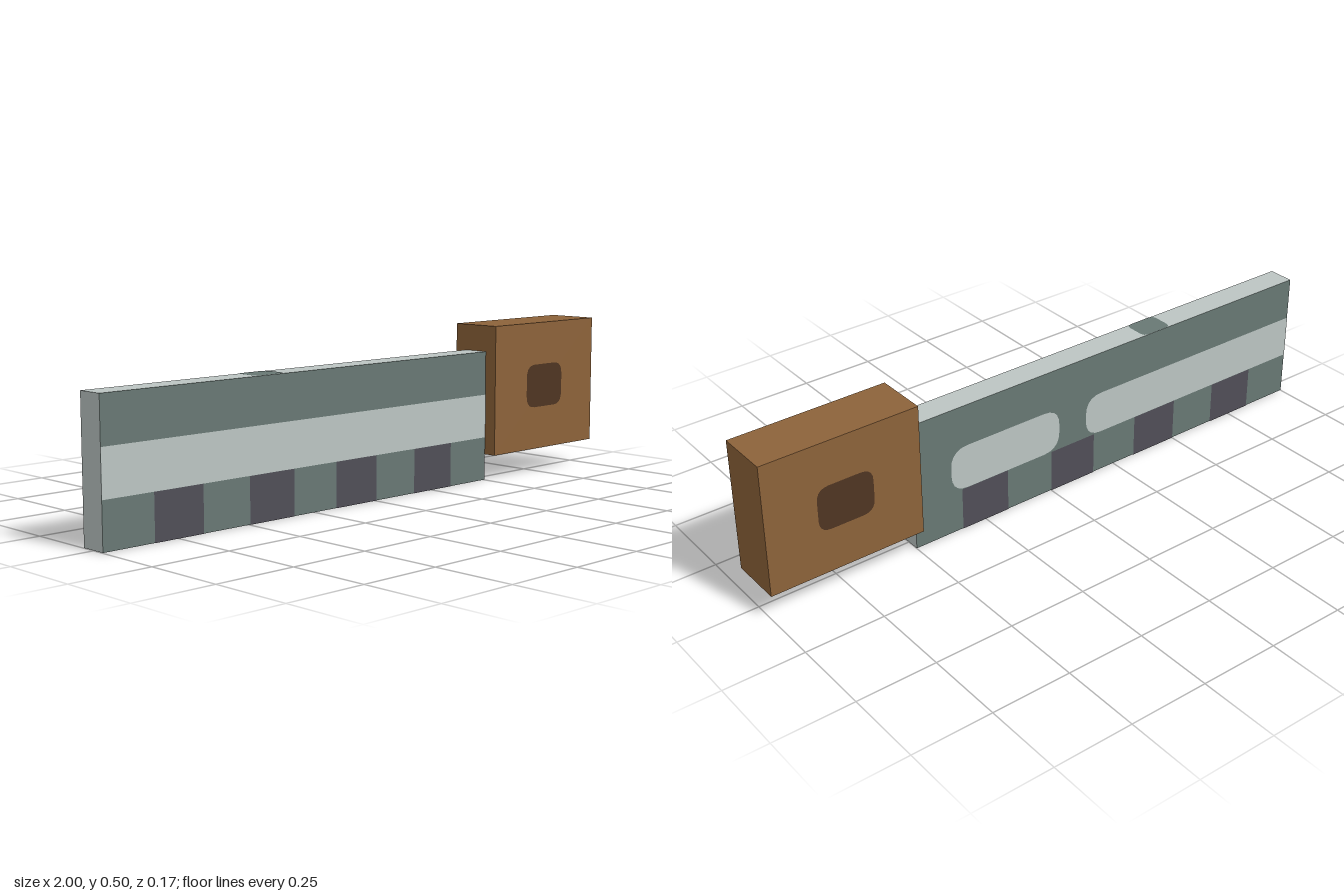
import * as THREE from 'three';

const paint = (name, color) => {
  const m = new THREE.MeshStandardMaterial({ color });
  m.name = name;
  return m;
};

// Rectangle with separate corner radii at its left and right ends
function plateShape(x0, x1, y0, y1, rl, rr) {
  const s = new THREE.Shape();
  s.moveTo(x0 + rl, y0);
  s.lineTo(x1 - rr, y0);
  if (rr) s.quadraticCurveTo(x1, y0, x1, y0 + rr);
  s.lineTo(x1, y1 - rr);
  if (rr) s.quadraticCurveTo(x1, y1, x1 - rr, y1);
  s.lineTo(x0 + rl, y1);
  if (rl) s.quadraticCurveTo(x0, y1, x0, y1 - rl);
  s.lineTo(x0, y0 + rl);
  if (rl) s.quadraticCurveTo(x0, y0, x0 + rl, y0);
  return s;
}

export function createModel() {
  const model = new THREE.Group();
  const steel = paint('pale steel', 0xbcc5c3);
  const slate = paint('slate green', 0x687874);
  const plum = paint('plum grey', 0x504e57);
  const wood = paint('brown wood', 0x8d633a);
  const darkWood = paint('dark wood', 0x4f3522);

  const add = (name, geometry, material, x = 0, y = 0, z = 0) => {
    const mesh = new THREE.Mesh(geometry, material);
    mesh.name = name;
    mesh.position.set(x, y, z);
    model.add(mesh);
    return mesh;
  };

  // Thin painted plate on the front (side 1) or back (side -1)
  const plate = (name, material, side, depth, x0, x1, y0, y1, rl = 0, rr = 0) => {
    const shape = side > 0
      ? plateShape(x0, x1, y0, y1, rl, rr)
      : plateShape(-x1, -x0, y0, y1, rr, rl);
    const mesh = add(name, new THREE.ShapeGeometry(shape, 5), material, 0, 0, side * (depth + 0.001));
    if (side < 0) mesh.rotation.y = Math.PI;
  };

  // Blade: pale edges, slate faces
  const H = 0.417, T = 0.042;
  add('blade', new THREE.BoxGeometry(1.5, H, T * 2),
    [steel, steel, steel, steel, slate, slate], -0.25, H / 2, 0);

  // Handle block
  add('handle', new THREE.BoxGeometry(0.5, 0.417, 0.167), wood, 0.75, 0.292, 0);

  // Pale stripes: unbroken in front, split in two behind
  plate('frontStripe', steel, 1, T, -1, 0.5, 0.139, 0.278);
  plate('backStripeShort', steel, -1, T, -0.03, 0.37, 0.139, 0.283, 0.06, 0.06);
  plate('backStripeLong', steel, -1, T, -1, -0.134, 0.139, 0.278, 0, 0.06);

  for (const side of [1, -1]) {
    // Row of square teeth along the lower edge
    for (let i = 0; i < 4; i++) {
      const x = -0.833 + i / 3;
      plate('tooth', plum, side, T + 0.001, x, x + 0.167, 0, 0.139);
    }
    // Handle inlay
    plate('handleInlay', darkWood, side, 0.0835, 0.657, 0.837, 0.222, 0.363, 0.04, 0.04);
  }

  // Slate notches on the top and bottom edges
  const notch = new THREE.ShapeGeometry(plateShape(-0.054, 0.054, -T, T, 0.02, 0.02), 4);
  add('topNotch', notch, slate, -0.417, H + 0.001, 0).rotation.x = -Math.PI / 2;
  add('bottomNotch', notch, slate, -0.083, -0.001, 0).rotation.x = Math.PI / 2;

  return model;
}
